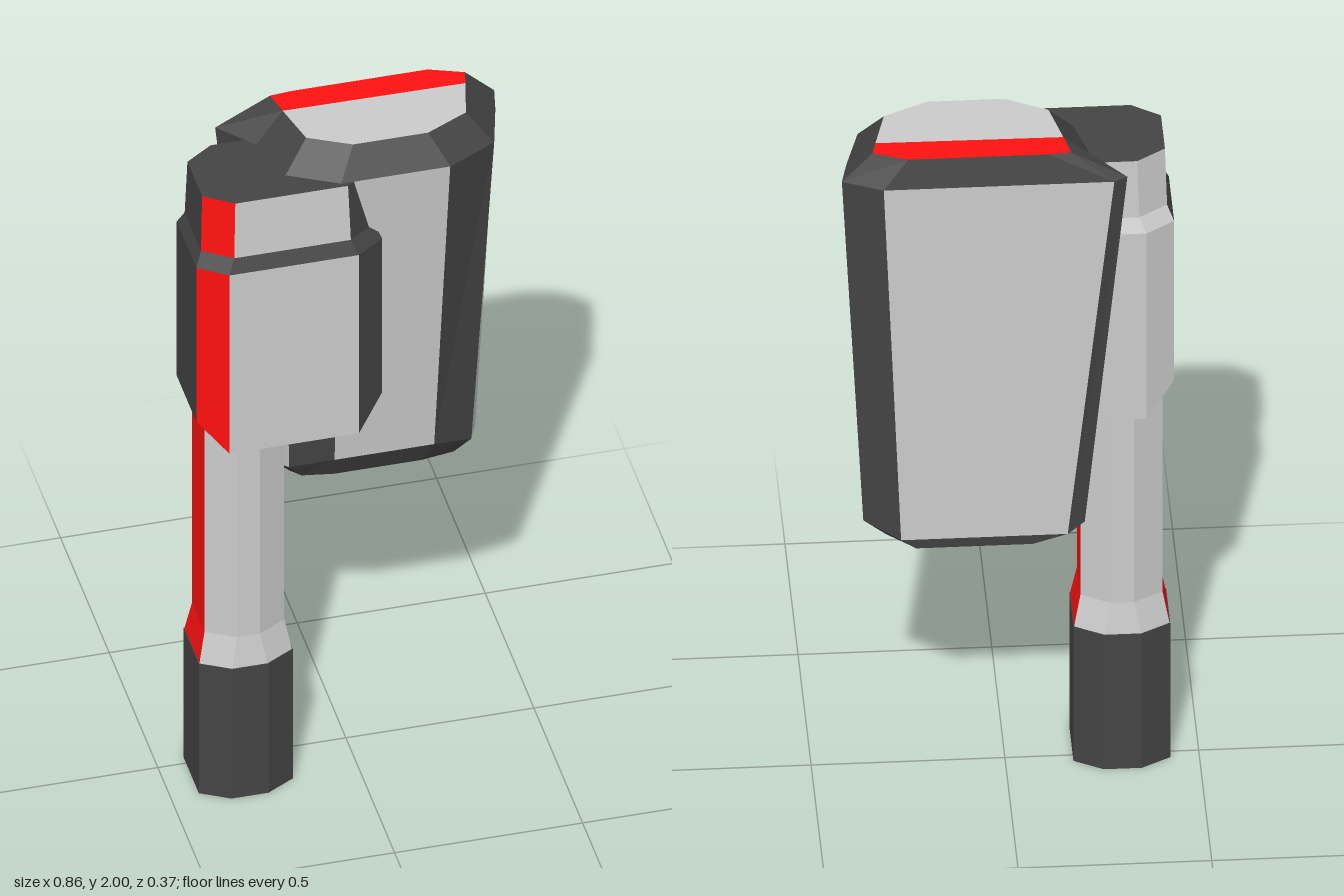
import * as THREE from 'three';

const GREY = 0xcccccc, DARK = 0x444444, RED = 0xff1111;
const material = (color) => new THREE.MeshStandardMaterial({ color, flatShading: true });

// Skins a stack of rings (top to bottom, clockwise from above) with flat faces.
// paint(band, side) gives the colour; caps are [colour, indices] polygons.
function loft(name, rings, paint, topCaps = [], bottomCaps = []) {
  const group = new THREE.Group();
  group.name = name;
  const byColor = new Map();
  const face = (color, pts) => {
    if (!byColor.has(color)) byColor.set(color, []);
    for (let i = 1; i < pts.length - 1; i++) {
      byColor.get(color).push(...pts[0], ...pts[i], ...pts[i + 1]);
    }
  };
  for (let r = 0; r < rings.length - 1; r++) {
    const a = rings[r], b = rings[r + 1];
    a.forEach((p, i) => {
      const j = (i + 1) % a.length;
      face(paint(r, i), [p, a[j], b[j], b[i]]);
    });
  }
  const last = rings[rings.length - 1];
  topCaps.forEach(([c, ids]) => face(c, ids.map((i) => rings[0][i]).reverse()));
  bottomCaps.forEach(([c, ids]) => face(c, ids.map((i) => last[i])));

  const suffix = { [GREY]: 'Panels', [DARK]: 'Frame', [RED]: 'Accents' };
  byColor.forEach((positions, color) => {
    const geo = new THREE.BufferGeometry();
    geo.setAttribute('position', new THREE.Float32BufferAttribute(positions, 3));
    geo.computeVertexNormals();
    const mesh = new THREE.Mesh(geo, material(color));
    mesh.name = name + suffix[color];
    group.add(mesh);
  });
  return group;
}

// Rectangle with cut corners; sides run: 1 = left (+x), 3 = front, 5 = right (-x), 7 = back
function octagon(cx, cz, y, hx, hz, cutX, cutZ) {
  return [
    [hx - cutX, -hz], [hx, cutZ - hz], [hx, hz - cutZ], [hx - cutX, hz],
    [cutX - hx, hz], [-hx, hz - cutZ], [-hx, cutZ - hz], [cutX - hx, -hz],
  ].map(([x, z]) => [cx + x, y, cz + z]);
}
const ALL8 = [0, 1, 2, 3, 4, 5, 6, 7];

function makeHandle() {
  const group = new THREE.Group();
  group.name = 'handle';
  const ring = (y, hx, hz, k = 1) => octagon(-0.3, 0.052, y, hx * k, hz * k, 0.076 * k, 0.043 * k);

  // Shaft with a flared collar and red flanks
  group.add(loft('shaft',
    [ring(1.2, 0.106, 0.107), ring(0.51, 0.106, 0.107), ring(0.42, 0.123, 0.12)],
    (r, i) => (i === 1 || i === 5 ? RED : GREY), [[GREY, ALL8]]));

  // Dark grip with a hollow in its foot
  group.add(loft('grip',
    [ring(0.42, 0.125, 0.122), ring(0, 0.125, 0.122), ring(0, 0.125, 0.122, 0.55), ring(0.06, 0.125, 0.122, 0.4)],
    () => DARK, [[DARK, ALL8]], [[DARK, ALL8]]));
  return group;
}

function makeHeadBlock() {
  const ring = (y, hx, hz) => octagon(-0.185, 0.031, y, hx, hz, 0.075, 0.052);
  // The underside slopes up towards both flanks
  const bottom = ring(1.13, 0.247, 0.153).map(([x, y, z]) => [x, Math.abs(x + 0.185) > 0.2 ? 1.21 : y, z]);
  const sideColors = [GREY, DARK, DARK, GREY, RED, DARK, GREY, GREY];
  return loft('headBlock',
    [ring(1.92, 0.225, 0.127), ring(1.75, 0.23, 0.136), ring(1.71, 0.247, 0.153), bottom],
    (r, i) => (r === 1 && i >= 2 && i <= 4 ? DARK : sideColors[i]),
    [[DARK, ALL8]],
    [[DARK, [0, 1, 2, 3]], [DARK, [7, 0, 3, 4]], [DARK, [4, 5, 6, 7]]]);
}

function makeShield() {
  // Top cap, shoulder, lower rim and sloping foot, starting at the back left corner
  const cap = [[0.26, -0.165], [0.35, -0.13], [0.34, -0.085], [0.31, 0.035], [0.195, 0.093],
    [-0.005, 0.093], [-0.115, 0.035], [-0.145, -0.09], [-0.16, -0.16], [-0.1, -0.165]]
    .map(([x, z]) => [x, 2, z]);
  const shoulder = [[0.325, -0.185], [0.43, -0.138], [0.413, -0.06], [0.375, 0.075], [0.24, 0.145],
    [-0.05, 0.145], [-0.18, 0.075], [-0.22, -0.07], [-0.305, -0.165], [-0.27, -0.185]]
    .map(([x, z]) => [x, 1.92, z]);
  const rim = [[0.28, 0.82, -0.182], [0.375, 0.86, -0.143], [0.367, 0.875, -0.09], [0.335, 0.905, -0.005],
    [0.225, 0.94, 0.038], [-0.04, 0.94, 0.038], [-0.15, 0.905, -0.005], [-0.183, 0.875, -0.09],
    [-0.195, 0.845, -0.165], [-0.15, 0.82, -0.182]];
  const foot = [[0.24, -0.178], [0.315, -0.135], [0.312, -0.09], [0.295, -0.03], [0.2, 0],
    [-0.03, 0], [-0.11, -0.03], [-0.127, -0.09], [-0.13, -0.14], [-0.06, -0.178]]
    .map(([x, z]) => [x, 0.79 + (z + 0.178) * 0.42, z]);

  const wall = [DARK, RED, GREY, DARK, GREY, DARK, GREY, DARK, DARK, GREY];
  return loft('shield', [cap, shoulder, rim, foot],
    (r, i) => (r === 1 ? wall[i] : DARK),
    [[GREY, [2, 3, 4, 5, 6, 7]], [RED, [0, 1, 2, 7, 8, 9]]],
    [[RED, [0, 1, 2, 3, 4, 5, 6, 7, 8, 9]]]);
}

export function createModel() {
  const model = new THREE.Group();
  model.name = 'shieldedHandle';
  model.add(makeHandle(), makeHeadBlock(), makeShield());
  return model;
}
